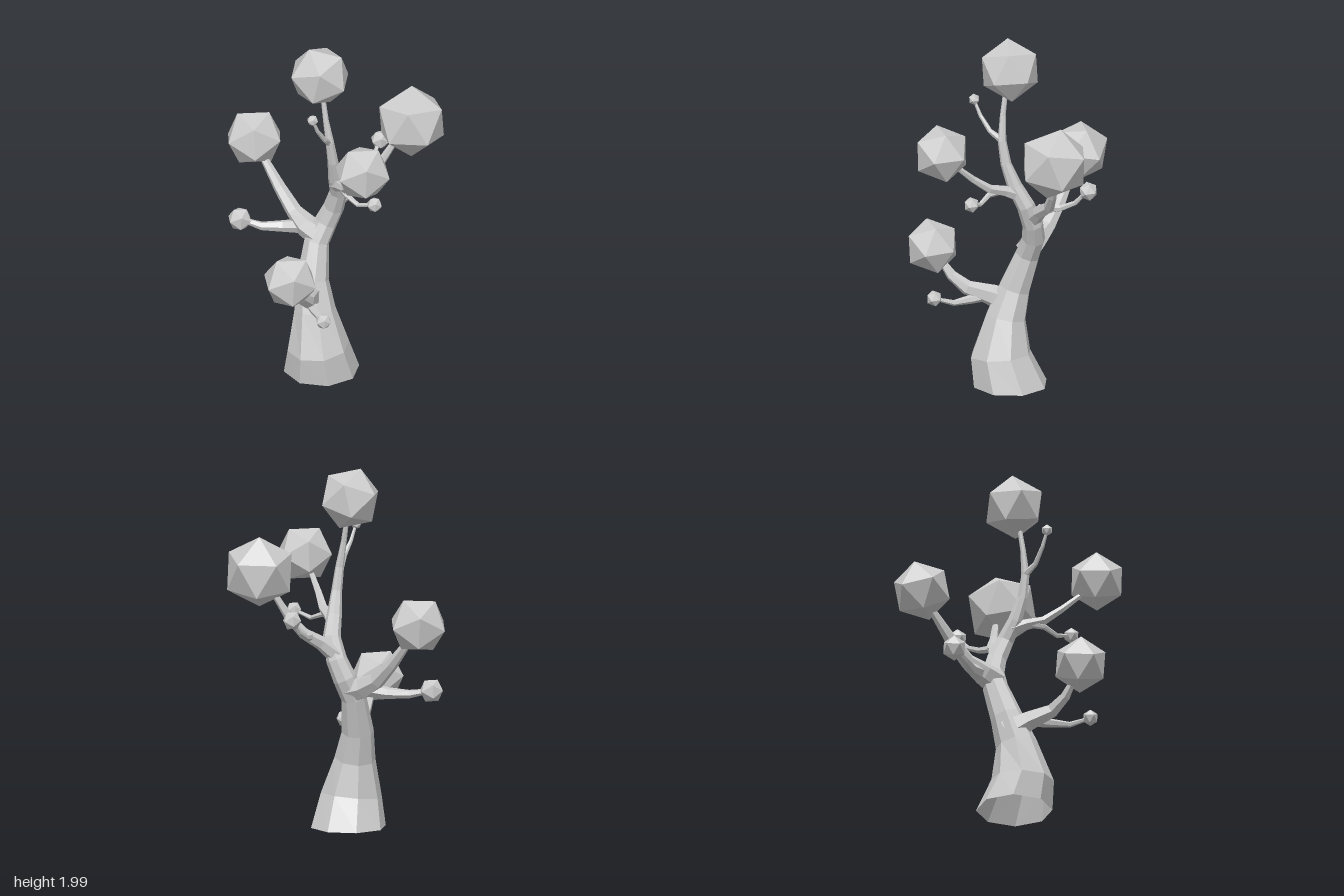
import * as THREE from 'three';

const material = new THREE.MeshStandardMaterial({ color: 0xcccccc, flatShading: true, side: THREE.DoubleSide });
const vec = (a) => new THREE.Vector3(a[0], a[1], a[2]);

// Faceted limb: rings of [x, y, z, radius] swept along the path
function limb(name, rings, sides, startDir, twist = 0) {
  const points = rings.map(vec);
  const pos = [], index = [];
  const u = new THREE.Vector3(0.31, 0.1, 0.95);
  points.forEach((p, k) => {
    const t = points[Math.min(k + 1, points.length - 1)].clone().sub(points[Math.max(k - 1, 0)]).normalize();
    if (k === 0 && startDir) t.copy(startDir);
    u.addScaledVector(t, -u.dot(t)).normalize();
    const v = t.clone().cross(u);
    for (let i = 0; i < sides; i++) {
      const a = (i / sides) * Math.PI * 2 + twist;
      const q = p.clone().addScaledVector(u, rings[k][3] * Math.cos(a)).addScaledVector(v, rings[k][3] * Math.sin(a));
      pos.push(q.x, q.y, q.z);
      if (k > 0) {
        const j = (i + 1) % sides, lo = (k - 1) * sides, hi = k * sides;
        index.push(lo + i, lo + j, hi + i, lo + j, hi + j, hi + i);
      }
    }
  });
  const geo = new THREE.BufferGeometry();
  geo.setAttribute('position', new THREE.Float32BufferAttribute(pos, 3));
  geo.setIndex(index);
  geo.computeVertexNormals();
  const mesh = new THREE.Mesh(geo, material);
  mesh.name = name;
  return mesh;
}

// Rotation frame from a main direction and a second one beside it
function frame(a, b) {
  const z = vec(a).normalize();
  const y = vec(b).addScaledVector(z, -vec(b).dot(z)).normalize();
  return new THREE.Matrix4().makeBasis(y.clone().cross(z), y, z);
}

// Twenty-sided leaf ball with one corner along a and a neighbouring corner towards b
const T = (1 + Math.sqrt(5)) / 2;
const restInverse = frame([0, 1, T], [0, -1, T]).invert();
function leafBall(name, center, radius, a = [0.03, 0, 1], b = [-0.22, 0.9, 0.42]) {
  const geo = new THREE.IcosahedronGeometry(radius, 0);
  geo.applyMatrix4(frame(a, b).multiply(restInverse));
  const mesh = new THREE.Mesh(geo, material);
  mesh.position.set(...center);
  mesh.name = name;
  return mesh;
}

export function createModel() {
  const tree = new THREE.Group();
  tree.name = 'tree';

  // Trunk, open at the base, tapering into the top stem
  tree.add(limb('trunk', [
    [0.055, 0, 0.075, 0.21], [0.085, 0.17, 0.12, 0.172], [0.048, 0.38, 0.115, 0.115],
    [0.0, 0.54, 0.095, 0.09], [-0.04, 0.74, 0.035, 0.07], [-0.03, 0.85, -0.02, 0.065],
    [0.005, 0.95, -0.048, 0.058], [0.055, 1.07, -0.043, 0.05], [0.092, 1.18, 0.005, 0.042],
    [0.12, 1.31, 0.045, 0.03], [0.125, 1.44, 0.07, 0.024], [0.105, 1.58, 0.083, 0.016], [0.08, 1.72, 0.085, 0.013],
  ], 8, new THREE.Vector3(0, 1, 0)));

  // Main branches
  const branches = {
    frontBranch: [[0.0, 0.44, 0.11, 0.085], [0.09, 0.5, 0.19, 0.06], [0.19, 0.545, 0.275, 0.042], [0.235, 0.61, 0.35, 0.03], [0.255, 0.68, 0.4, 0.02]],
    leftBranch: [[-0.03, 0.78, 0.02, 0.075], [-0.12, 0.805, 0.045, 0.065], [-0.22, 0.855, 0.055, 0.045], [-0.33, 0.96, 0.07, 0.035], [-0.45, 1.1, 0.09, 0.022]],
    backBranch: [[0.01, 0.98, -0.05, 0.05], [0.04, 1.05, -0.13, 0.04], [0.065, 1.11, -0.23, 0.032], [0.11, 1.2, -0.3, 0.024], [0.15, 1.32, -0.36, 0.018]],
    rightBranch: [[0.075, 1.13, -0.01, 0.04], [0.15, 1.165, 0.02, 0.032], [0.245, 1.195, 0.05, 0.026], [0.335, 1.265, 0.09, 0.02], [0.45, 1.37, 0.125, 0.014]],
  };
  // Thin side twigs
  const twigs = {
    frontTwig: [[0.1, 0.5, 0.2, 0.035], [0.2, 0.487, 0.24, 0.025], [0.3, 0.485, 0.27, 0.016], [0.39, 0.52, 0.315, 0.01]],
    leftTwig: [[-0.13, 0.8, 0.04, 0.045], [-0.23, 0.78, 0.12, 0.033], [-0.31, 0.775, 0.21, 0.024], [-0.39, 0.795, 0.27, 0.015]],
    backTwig: [[0.05, 1.09, -0.2, 0.025], [0.005, 1.1, -0.265, 0.018], [-0.03, 1.14, -0.34, 0.014], [-0.05, 1.21, -0.4, 0.01]],
    rightTwig: [[0.17, 1.17, 0.03, 0.022], [0.25, 1.16, 0.05, 0.016], [0.335, 1.13, 0.035, 0.013], [0.42, 1.158, 0.007, 0.009]],
    topTwig: [[0.122, 1.44, 0.075, 0.02], [0.158, 1.49, 0.13, 0.014], [0.172, 1.57, 0.19, 0.011], [0.18, 1.645, 0.226, 0.008]],
  };
  for (const [name, rings] of Object.entries({ ...branches, ...twigs })) tree.add(limb(name, rings, 6));

  // Large leaf balls
  tree.add(
    leafBall('topLeafBall', [0.05, 1.83, 0.083], 0.175, [-0.2, 0.15, 0.97], [-0.19, 0.95, 0.27]),
    leafBall('backLeafBall', [0.22, 1.455, -0.42], 0.203, [-0.145, 0.98, -0.12], [-0.22, 0.3, -0.96]),
    leafBall('rightLeafBall', [0.523, 1.45, 0.145], 0.161, [0.05, 0, 1], [-0.24, 0.9, 0.45]),
    leafBall('leftLeafBall', [-0.52, 1.202, 0.103], 0.167, [-0.08, 0.06, 0.99], [-0.45, 0.84, 0.28]),
    leafBall('frontLeafBall', [0.275, 0.765, 0.457], 0.155, [0.05, 0, 1], [-0.2, 0.9, 0.4]),
  );

  // Small leaf balls on the twigs
  tree.add(
    leafBall('leftBud', [-0.41, 0.8, 0.285], 0.069),
    leafBall('frontBud', [0.4, 0.525, 0.322], 0.045),
    leafBall('rightBud', [0.438, 1.165, 0.0], 0.044),
    leafBall('backBud', [-0.057, 1.22, -0.413], 0.054),
    leafBall('topBud', [0.18, 1.655, 0.23], 0.032),
  );
  return tree;
}
